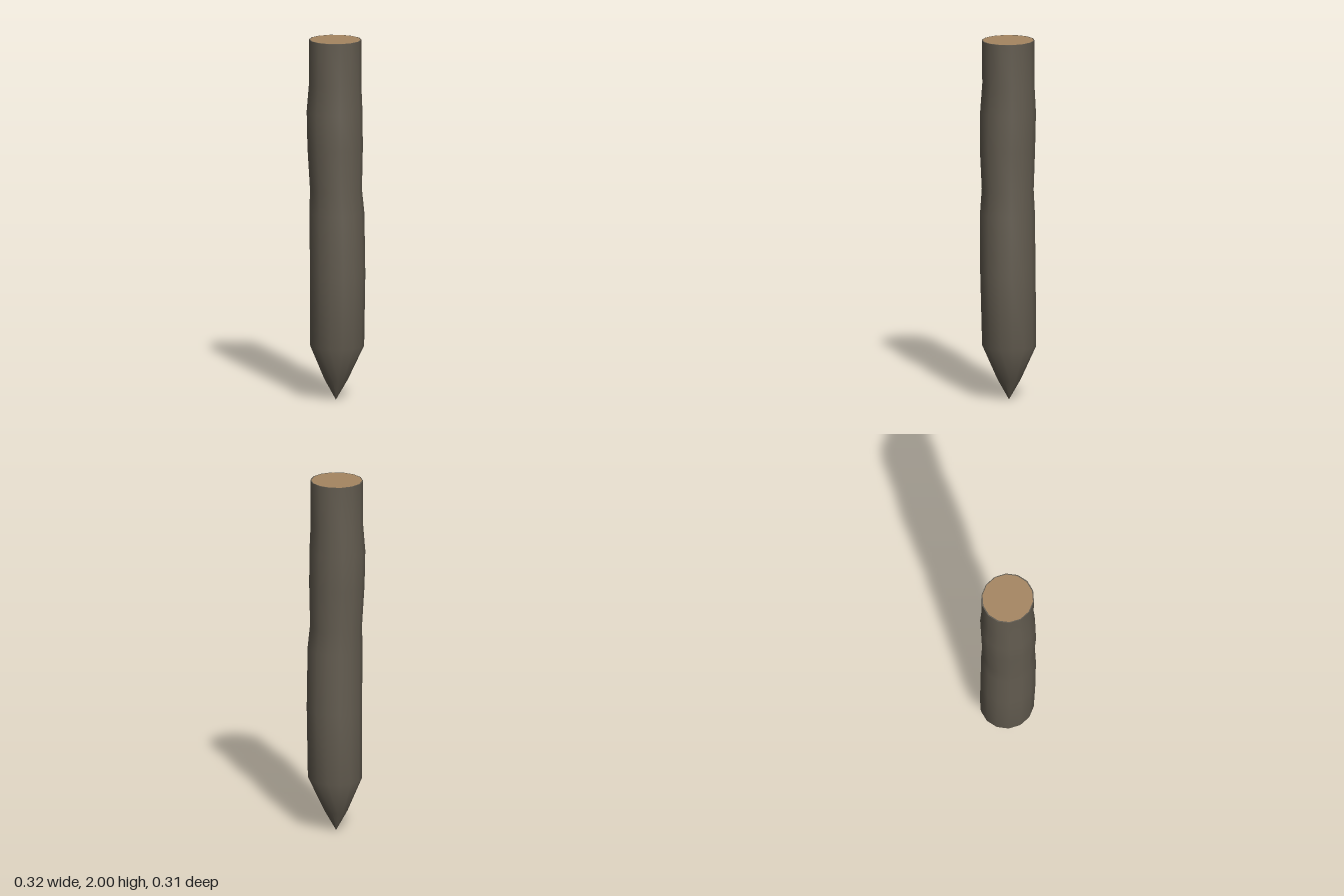
import * as THREE from 'three';

const SIDES = 14;

// Trunk rings from tip to top: [y, centre x, centre z, radius x, radius z]
const RINGS = [
  [0, -0.008, 0, 0.001, 0.001],
  [0.11, -0.007, -0.001, 0.064, 0.063],
  [0.3, -0.004, -0.005, 0.15, 0.147],
  [0.7, 0.004, -0.003, 0.154, 0.15],
  [1.04, 0.003, 0.001, 0.152, 0.149],
  [1.17, -0.002, 0.004, 0.144, 0.141],
  [1.4, -0.004, 0.008, 0.154, 0.15],
  [1.6, -0.009, 0.008, 0.154, 0.152],
  [1.76, -0.008, 0.005, 0.144, 0.142],
  [2, -0.007, 0.005, 0.147, 0.143],
];

// Lathe around y, then shift each ring to its own centre and radii
function trunkGeometry() {
  const profile = RINGS.map(([y]) => new THREE.Vector2(1, y));
  const geo = new THREE.LatheGeometry(profile, SIDES);
  const pos = geo.attributes.position;
  for (let i = 0; i < pos.count; i++) {
    const [y, cx, cz, rx, rz] = RINGS[i % RINGS.length];
    const a = (Math.floor(i / RINGS.length) % SIDES) / SIDES * Math.PI * 2;
    pos.setXYZ(i, cx + Math.cos(a) * rx, y, cz - Math.sin(a) * rz);
  }
  geo.computeVertexNormals();
  // Share normals across the seam
  const n = geo.attributes.normal;
  const last = SIDES * RINGS.length;
  for (let j = 0; j < RINGS.length; j++) {
    const v = new THREE.Vector3().fromBufferAttribute(n, j)
      .add(new THREE.Vector3().fromBufferAttribute(n, last + j)).normalize();
    n.setXYZ(j, v.x, v.y, v.z);
    n.setXYZ(last + j, v.x, v.y, v.z);
  }
  return geo;
}

export function createModel() {
  const bark = new THREE.MeshStandardMaterial({ color: 0x635c50 });
  bark.name = 'bark';
  bark.side = THREE.DoubleSide;
  const cutWood = new THREE.MeshStandardMaterial({ color: 0xa58560 });
  cutWood.name = 'cutWood';

  const group = new THREE.Group();
  group.name = 'woodenStake';

  const add = (name, geometry, material) => {
    const mesh = new THREE.Mesh(geometry, material);
    mesh.name = name;
    group.add(mesh);
    return mesh;
  };

  // Wobbly trunk with its sharpened tip
  add('trunk', trunkGeometry(), bark);

  // Bark rim closing the top, with the sawn wood face just above it
  const [, cx, cz, rx, rz] = RINGS[RINGS.length - 1];
  const disc = (name, y, sx, sz, material) => {
    const geo = new THREE.CircleGeometry(1, SIDES).rotateX(-Math.PI / 2).scale(sx, 1, sz);
    add(name, geo, material).position.set(cx, y, cz);
  };
  disc('barkRim', 1.998, rx, rz, bark);
  disc('sawnTop', 2, 0.14, 0.138, cutWood);

  return group;
}
